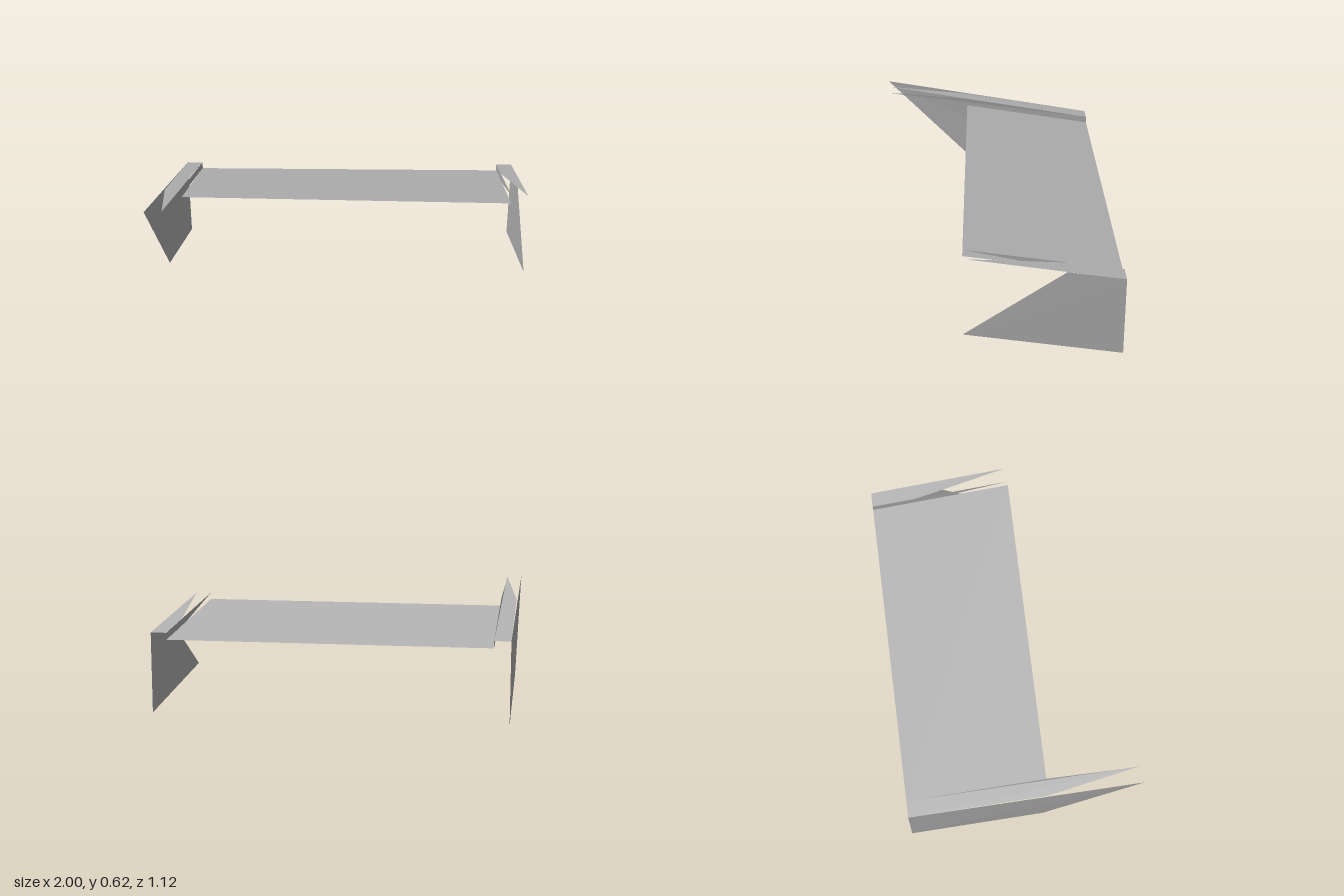
import * as THREE from 'three';

const grey = new THREE.MeshStandardMaterial({ color: 0xb2b2b2, side: THREE.DoubleSide });
grey.name = 'plain grey';

// One flat four-cornered sheet, corners listed counter-clockwise from its outer face
function sheet(name, corners) {
  const geometry = new THREE.BufferGeometry();
  const points = [0, 1, 2, 0, 2, 3].flatMap((i) => corners[i]);
  geometry.setAttribute('position', new THREE.Float32BufferAttribute(points, 3));
  geometry.computeVertexNormals();
  const mesh = new THREE.Mesh(geometry, grey);
  mesh.name = name;
  return mesh;
}

export function createModel() {
  const model = new THREE.Group();
  model.name = 'foldedTray';

  // Corners shared by neighbouring sheets at the back
  const backRight = [-0.677, 0.375, -0.55], backLeft = [0.92, 0.375, -0.232];
  const rimRight = [-0.677, 0.41, -0.55], rimLeft = [0.92, 0.41, -0.232];
  const outerRight = [-0.757, 0.41, -0.565], outerLeft = [1, 0.41, -0.216];

  // Sloping deck
  model.add(sheet('deck', [backRight, [-0.817, 0.5, 0.125], [0.765, 0.5, 0.485], backLeft]));

  // Side at -x: wall, top flange and the step down to the deck
  const right = new THREE.Group();
  right.name = 'rightSide';
  right.add(
    sheet('rightWall', [[-1, 0.62, 0.545], outerRight, [-0.757, 0, -0.565], [-0.897, 0.13, 0.1]]),
    sheet('rightFlange', [outerRight, [-0.897, 0.535, 0.1], [-0.92, 0.62, 0.553], rimRight]),
    sheet('rightStep', [rimRight, [-0.82, 0.54, 0.13], [-0.915, 0.585, 0.557], backRight]),
  );

  // Side at +x
  const left = new THREE.Group();
  left.name = 'leftSide';
  left.add(
    sheet('leftWall', [outerLeft, [0.943, 0.455, 0.045], [0.845, 0.13, 0.51], [1, 0, -0.216]]),
    sheet('leftFlange', [rimLeft, [0.87, 0.452, 0], [0.847, 0.535, 0.49], outerLeft]),
    sheet('leftStep', [rimLeft, backLeft, [0.853, 0.43, 0.08], [0.767, 0.535, 0.485]]),
  );

  model.add(right, left);
  return model;
}
